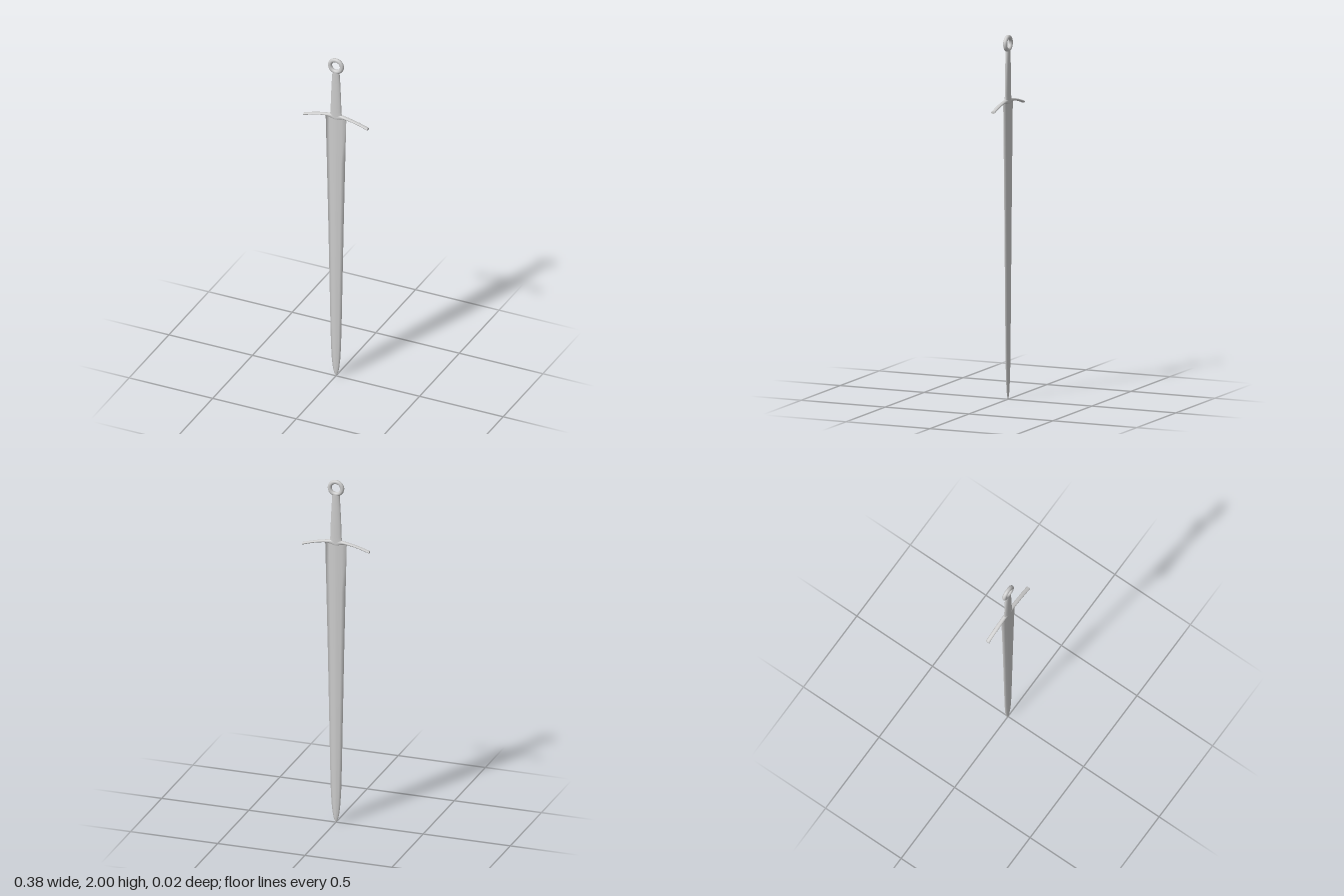
import * as THREE from 'three';

const material = new THREE.MeshStandardMaterial({ color: 0xcccccc });
const DEPTH = 0.0115; // half thickness of guard, grip and ring

// Skin a row of closed rings; rings turn counter-clockwise about the direction of travel
function loft(name, rings) {
  const n = rings[0].length, pos = [], idx = [];
  rings.forEach(r => r.forEach(p => pos.push(...p)));
  for (let i = 0; i < rings.length - 1; i++) {
    for (let j = 0; j < n; j++) {
      const a = i * n + j, b = i * n + (j + 1) % n;
      idx.push(a, b, b + n, a, b + n, a + n);
    }
  }
  // Flat end caps with their own vertices, so the rims stay sharp
  for (const [ring, flip] of [[rings[0], true], [rings[rings.length - 1], false]]) {
    const start = pos.length / 3;
    ring.forEach(p => pos.push(...p));
    for (let j = 1; j < n - 1; j++) {
      idx.push(start, start + (flip ? j + 1 : j), start + (flip ? j : j + 1));
    }
  }
  const g = new THREE.BufferGeometry();
  g.setAttribute('position', new THREE.Float32BufferAttribute(pos, 3));
  g.setIndex(idx);
  g.computeVertexNormals();
  const mesh = new THREE.Mesh(g, material);
  mesh.name = name;
  return mesh;
}

// Unit oval outline as [u, v] pairs
const oval = Array.from({ length: 20 }, (_, i) => {
  const a = i / 20 * Math.PI * 2;
  return [Math.cos(a), Math.sin(a)];
});

// Unit blade outline [z, x]: thin edges rising to a narrow central ridge
const bladeOutline = [
  [1, -0.12], [1, 0.12], [0.6, 0.6], [0, 1], [-0.6, 0.6],
  [-1, 0.12], [-1, -0.12], [-0.6, -0.6], [0, -1], [0.6, -0.6],
];

// Ring across the y axis, and ring across the x axis
const ringY = (outline, y, halfX, halfZ) => outline.map(([u, v]) => [v * halfX, y, u * halfZ]);
const ringX = (x, y, halfY) => oval.map(([u, v]) => [x, y + u * halfY, v * DEPTH]);

export function createModel() {
  const sword = new THREE.Group();
  sword.name = 'sword';

  // Blade: [height, half width, half thickness] from tip to guard
  const blade = [
    [0, 0.001, 0.001], [0.012, 0.008, 0.003], [0.03, 0.014, 0.005], [0.06, 0.02, 0.006],
    [0.11, 0.0255, 0.007], [0.19, 0.03, 0.0075], [0.32, 0.0335, 0.008], [0.6, 0.039, 0.0085],
    [1.0, 0.047, 0.009], [1.35, 0.055, 0.0095], [1.632, 0.062, 0.01],
  ];
  sword.add(loft('blade', blade.map(([y, w, t]) => ringY(bladeOutline, y, w, t))));

  // Crossguard: [distance from the middle, centre height, half height], mirrored
  const arm = [
    [0, 1.632, 0.024], [0.012, 1.634, 0.02], [0.025, 1.637, 0.0145], [0.04, 1.638, 0.0105],
    [0.065, 1.636, 0.0075], [0.1, 1.63, 0.0065], [0.14, 1.62, 0.0065], [0.192, 1.604, 0.007],
  ];
  const left = arm.map(([x, y, h]) => ringX(x, y, h));
  const right = arm.slice(1).reverse().map(([x, y, h]) => ringX(-x, y, h));
  sword.add(loft('crossguard', [...right, ...left]));

  // Grip: narrows upwards, flared where it meets the guard and the ring
  const grip = [
    [1.635, 0.042], [1.65, 0.035], [1.67, 0.0325], [1.75, 0.03],
    [1.84, 0.026], [1.895, 0.022], [1.918, 0.021],
  ];
  sword.add(loft('grip', grip.map(([y, w]) => ringY(oval, y, w, DEPTH))));

  // Ring pommel
  const pommel = new THREE.Mesh(new THREE.TorusGeometry(0.0355, DEPTH, 16, 40), material);
  pommel.name = 'ringPommel';
  pommel.position.y = 1.953;
  sword.add(pommel);

  return sword;
}
